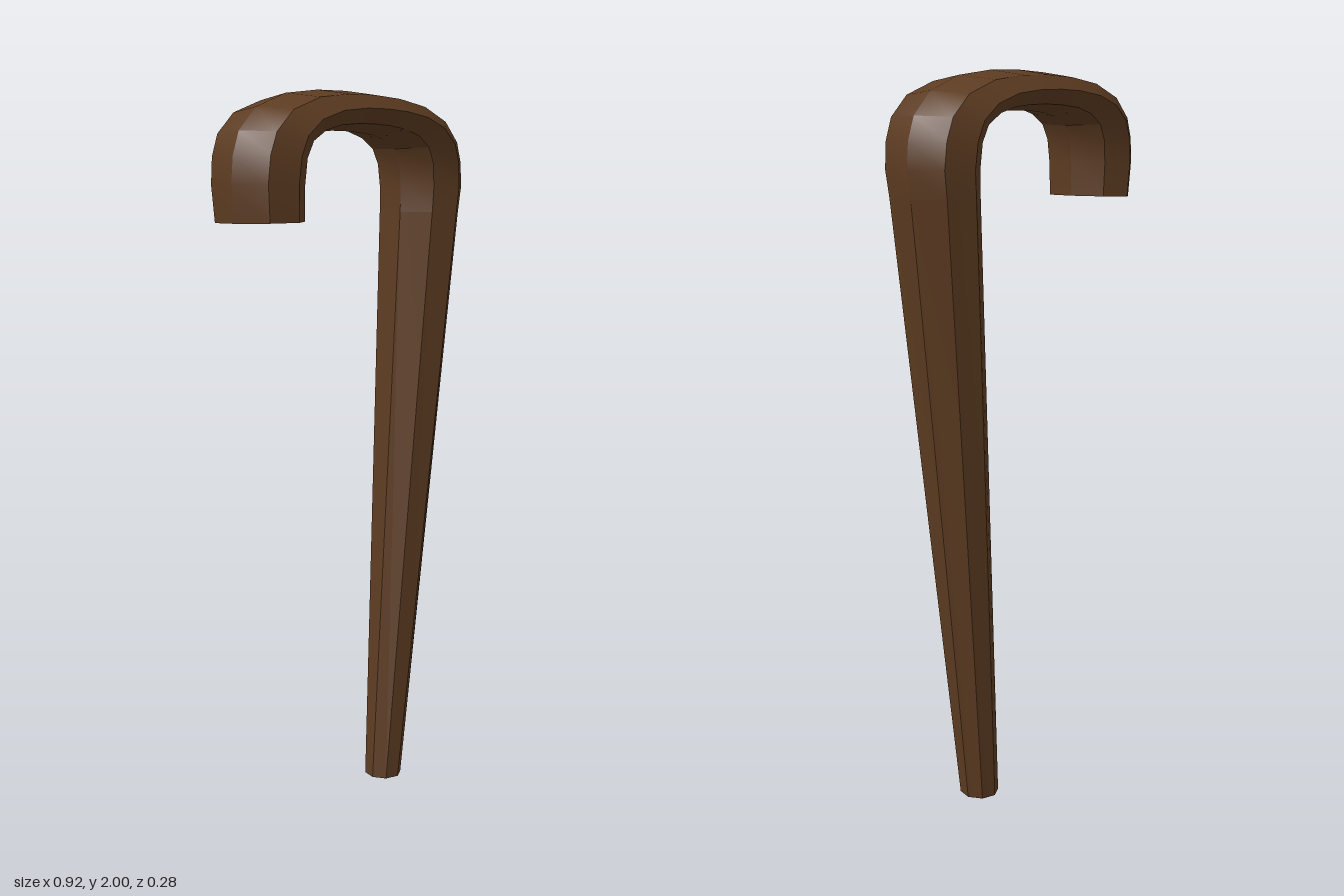
import * as THREE from 'three';
import { toCreasedNormals } from 'three/addons/utils/BufferGeometryUtils.js';

// Stations along the stick, from hook tip to foot: outer x, y and inner x, y
const bend = [
  [0.46, 1.75, 0.26, 1.75],
  [0.453, 1.82, 0.252, 1.815],
  [0.43, 1.88, 0.228, 1.855],
  [0.365, 1.94, 0.18, 1.878],
  [0.25, 1.98, 0.125, 1.889],
  [0.12, 1.996, 0.06, 1.894],
];
const stations = [
  [-0.45, 1.655, -0.26, 1.66],
  ...bend.map(([ox, oy, ix, iy]) => [-ox, oy, -ix, iy]),
  [0, 2, 0, 1.895],
  ...bend.slice().reverse(),
  [0.447, 1.68, 0.258, 1.68],
  [0.24, 0, 0.135, 0],
];

// Octagonal sections swept through the stations; depth tapers with height
function sweep(sections, sides) {
  const positions = [];
  const index = [];
  const centres = sections.map(([ox, oy, ix, iy]) => [(ox + ix) / 2, (oy + iy) / 2]);
  sections.forEach(([ox, oy, ix, iy], i) => {
    const [cx, cy] = centres[i];
    const depth = 0.055 + 0.0448 * cy;
    for (let j = 0; j < sides; j++) {
      const a = (j / sides) * Math.PI * 2;
      const c = Math.cos(a) / 2;
      positions.push(cx + (ox - ix) * c, cy + (oy - iy) * c, depth * Math.sin(a));
    }
  });

  // Walls
  const last = sections.length - 1;
  for (let i = 0; i < last; i++) {
    for (let j = 0; j < sides; j++) {
      const k = (j + 1) % sides;
      const a = i * sides + j, b = i * sides + k;
      index.push(a, b, a + sides, b, b + sides, a + sides);
    }
  }

  // End caps
  for (let j = 1; j < sides - 1; j++) {
    index.push(0, j + 1, j);
    index.push(last * sides, last * sides + j, last * sides + j + 1);
  }

  const geometry = new THREE.BufferGeometry();
  geometry.setAttribute('position', new THREE.Float32BufferAttribute(positions, 3));
  geometry.setIndex(index);
  return toCreasedNormals(geometry, 0.5);
}

export function createModel() {
  const group = new THREE.Group();
  group.name = 'walkingCane';

  const wood = new THREE.MeshStandardMaterial({ color: 0x5c3b21 });
  wood.name = 'brown wood';

  // Hooked handle and shaft in one piece
  const cane = new THREE.Mesh(sweep(stations, 8), wood);
  cane.name = 'hookedShaft';
  group.add(cane);
  return group;
}
